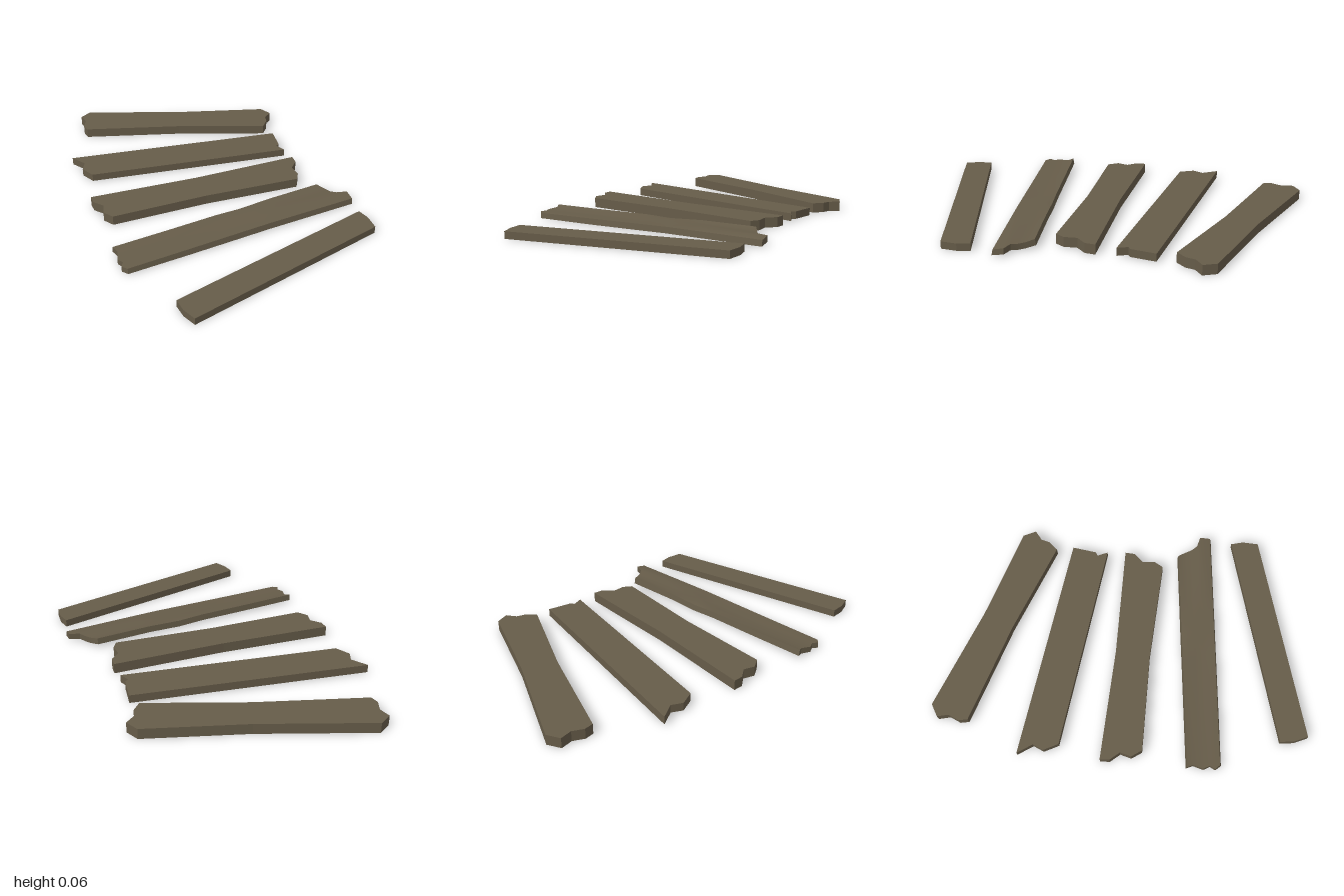
import * as THREE from 'three';
import { toCreasedNormals } from 'three/addons/utils/BufferGeometryUtils.js';

const wood = new THREE.MeshStandardMaterial({ color: 0x665c49 });
wood.name = 'weathered wood';

// Flat board: outline in x,z extruded upwards from y = base
function board(name, outline, base, height) {
  const shape = new THREE.Shape(outline.map(([x, z]) => new THREE.Vector2(x, -z)));
  const geo = new THREE.ExtrudeGeometry(shape, { depth: height, bevelEnabled: false });
  geo.rotateX(-Math.PI / 2).translate(0, base, 0);
  const mesh = new THREE.Mesh(geo, wood);
  mesh.name = name;
  return mesh;
}

// Warped board: lofted between two ragged ends, with a cupped section that twists
function warpedBoard() {
  const left = [[-0.555, 0.45], [-0.525, 0.48], [-0.52, 0.54], [-0.49, 0.565], [-0.495, 0.6], [-0.46, 0.62]];
  const right = [[0.59, -0.105], [0.635, -0.07], [0.665, -0.045], [0.7, -0.025], [0.76, -0.03], [0.785, 0.03]];
  // top heights from the back edge to the front edge, at stations along the board
  const stations = [
    [0, 0.05, 0.041, 0.036, 0.036, 0.036, 0.033],
    [0.25, 0.05, 0.044, 0.038, 0.037, 0.038, 0.036],
    [0.48, 0.052, 0.05, 0.04, 0.037, 0.04, 0.04],
    [0.6, 0.046, 0.052, 0.053, 0.045, 0.042, 0.042],
    [0.75, 0.054, 0.046, 0.05, 0.052, 0.046, 0.04],
    [1, 0.053, 0.043, 0.04, 0.046, 0.048, 0.036],
  ];
  const n = left.length, ring = 2 * n, pos = [], idx = [];
  for (const [t, ...tops] of stations) {
    // raggedness fades from the ends into straight edges
    const point = (j) => {
      const v = j / (n - 1);
      const at = (k) => {
        const straightL = left[0][k] + (left[n - 1][k] - left[0][k]) * v;
        const straightR = right[0][k] + (right[n - 1][k] - right[0][k]) * v;
        const a = t === 0 ? left[j][k] : straightL;
        const b = t === 1 ? right[j][k] : straightR;
        return a + (b - a) * t;
      };
      return [at(0), at(1)];
    };
    for (let j = 0; j < n; j++) {
      const [x, z] = point(j);
      const inset = j === 0 ? 0.006 : j === n - 1 ? -0.006 : 0;
      pos.push(x + inset * 0.45, tops[j], z + inset);
    }
    for (let j = n - 1; j >= 0; j--) {
      const [x, z] = point(j);
      pos.push(x, Math.max(0.003, tops[j] - 0.034), z);
    }
  }
  // skin around the board
  for (let i = 0; i < stations.length - 1; i++) {
    for (let j = 0; j < ring; j++) {
      const a = i * ring + j, b = i * ring + (j + 1) % ring;
      idx.push(a, b, a + ring, b, b + ring, a + ring);
    }
  }
  // broken ends
  const last = (stations.length - 1) * ring;
  for (let j = 0; j < n - 1; j++) {
    const t0 = j, t1 = j + 1, b0 = ring - 1 - j, b1 = ring - 2 - j;
    idx.push(t0, b0, t1, t1, b0, b1);
    idx.push(last + t0, last + t1, last + b0, last + t1, last + b1, last + b0);
  }
  const geo = new THREE.BufferGeometry();
  geo.setAttribute('position', new THREE.Float32BufferAttribute(pos, 3));
  geo.setIndex(idx);
  const mesh = new THREE.Mesh(toCreasedNormals(geo, 0.6), wood);
  mesh.name = 'warpedPlank';
  return mesh;
}

export function createModel() {
  const group = new THREE.Group();
  group.name = 'woodenPlanks';
  group.add(
    board('backPlank', [
      [-0.865, -0.92], [-0.815, -0.98], [-0.21, -0.973], [0.33, -1], [0.385, -0.945], [0.35, -0.89],
      [0.355, -0.84], [0.33, -0.777], [-0.22, -0.785], [-0.81, -0.757], [-0.835, -0.8], [-0.83, -0.865],
    ], 0, 0.056),
    board('secondPlank', [
      [-0.865, -0.425], [0.385, -0.695], [0.412, -0.56], [0.397, -0.54], [0.44, -0.495],
      [-0.725, -0.238], [-0.79, -0.3], [-0.785, -0.365],
    ], 0.004, 0.044),
    board('middlePlank', [
      [-0.71, 0.005], [-0.11, -0.18], [0.48, -0.395], [0.495, -0.34], [0.465, -0.275], [0.495, -0.21],
      [0.485, -0.155], [-0.05, 0.005], [-0.57, 0.195], [-0.625, 0.155], [-0.63, 0.09], [-0.69, 0.055],
    ], 0, 0.056),
    warpedBoard(),
    board('frontPlank', [
      [0.8, 0.155], [0.84, 0.215], [0.865, 0.3], [-0.12, 0.995], [-0.175, 0.935], [-0.21, 0.865],
    ], 0, 0.041),
  );
  return group;
}
